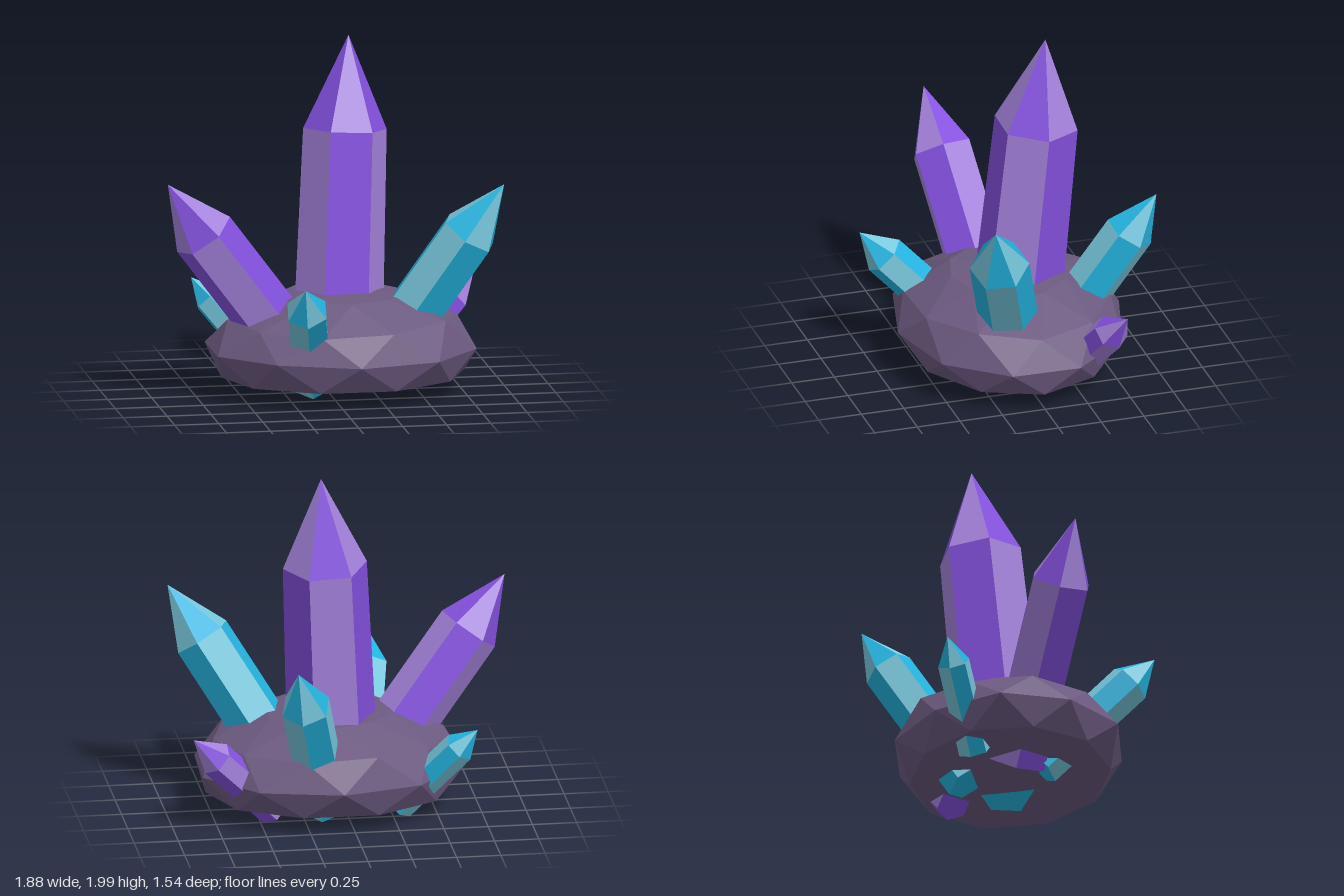
import * as THREE from 'three';

const material = (name, color) => {
  const m = new THREE.MeshStandardMaterial({ color });
  m.name = name;
  return m;
};
const rockStone = material('rockStone', 0x6c5a80);
const deepViolet = material('deepViolet', 0x8450de);
const paleViolet = material('paleViolet', 0xa482dc);
const brightTeal = material('brightTeal', 0x24b4e0);
const paleTeal = material('paleTeal', 0x78c8de);
const violet = [deepViolet, paleViolet];
const teal = [brightTeal, paleTeal];

const flatGeometry = (points) => {
  const g = new THREE.BufferGeometry().setFromPoints(points);
  g.computeVertexNormals();
  return g;
};

// Six-sided crystal with a pointed tip; its facets alternate between two shades
function crystal({ name, base, neck, tip, radius, flare = 1, twist, shades }) {
  const [b, n, t] = [base, neck, tip].map((p) => new THREE.Vector3(...p));
  const axis = n.clone().sub(b).normalize();
  const up = new THREE.Vector3(0, 1, 0).addScaledVector(axis, -axis.y).normalize();
  const side = axis.clone().cross(up);
  const ring = (centre, r) => Array.from({ length: 6 }, (_, i) => {
    const a = THREE.MathUtils.degToRad(twist + 60 * i);
    return centre.clone().addScaledVector(up, r * Math.cos(a)).addScaledVector(side, r * Math.sin(a));
  });
  const low = ring(b, radius * flare);
  const high = ring(n, radius);
  const facets = [[], []];
  for (let i = 0; i < 6; i++) {
    const j = (i + 1) % 6;
    const body = i % 2 ? 0 : 1;
    facets[body].push(low[i], low[j], high[j], low[i], high[j], high[i]);
    facets[1 - body].push(high[i], high[j], t);
    facets[0].push(b, low[j], low[i]);
  }
  const geometry = flatGeometry(facets.flat());
  geometry.addGroup(0, facets[0].length, 0);
  geometry.addGroup(facets[0].length, facets[1].length, 1);
  const mesh = new THREE.Mesh(geometry, shades);
  mesh.name = name;
  return mesh;
}

// Faceted boulder from staggered, slightly uneven rings
function rock() {
  let seed = 7;
  const jitter = (s) => {
    seed = (seed * 16807) % 2147483647;
    return (seed / 2147483647 - 0.5) * 2 * s;
  };
  const sides = 10;
  // height, x radius, z radius, height unevenness
  const levels = [
    [0.11, 0.69, 0.56, 0],
    [0.27, 0.775, 0.645, 0.012],
    [0.44, 0.65, 0.57, 0.02],
    [0.57, 0.36, 0.33, 0.015],
  ];
  const rings = levels.map(([y, rx, rz, uneven], k) => Array.from({ length: sides }, (_, i) => {
    const a = Math.PI / 2 + ((i + k / 2 - 0.5) / sides) * Math.PI * 2;
    const r = 1 + jitter(0.015);
    return new THREE.Vector3(0.08 + rx * r * Math.cos(a), y + jitter(uneven), 0.01 - rz * r * Math.sin(a));
  }));
  const bottom = new THREE.Vector3(0.08, 0.1, 0.01);
  const top = new THREE.Vector3(0.08, 0.605, 0);
  const points = [];
  for (let i = 0; i < sides; i++) {
    const j = (i + 1) % sides;
    points.push(bottom, rings[0][j], rings[0][i]);
    for (let k = 0; k < rings.length - 1; k++) {
      const [lo, hi] = [rings[k], rings[k + 1]];
      points.push(lo[i], lo[j], hi[i], lo[j], hi[j], hi[i]);
    }
    points.push(rings[3][i], rings[3][j], top);
  }
  const mesh = new THREE.Mesh(flatGeometry(points), rockStone);
  mesh.name = 'rockBase';
  return mesh;
}

export function createModel() {
  const model = new THREE.Group();
  model.name = 'crystalCluster';
  model.add(rock());

  const crystals = [
    { name: 'mainCrystal', base: [0.06, 0.2, -0.035], neck: [0.122, 1.475, -0.145], tip: [0.15, 2, -0.19],
      radius: 0.238, flare: 1.08, twist: 60, shades: violet },
    { name: 'rightLargeCrystal', base: [-0.1, 0.12, 0.02], neck: [-0.73, 0.96, 0.14], tip: [-0.94, 1.26, 0.18],
      radius: 0.18, twist: -20, shades: violet },
    { name: 'leftLargeCrystal', base: [0.245, 0.12, 0.02], neck: [0.755, 0.94, 0.27], tip: [0.94, 1.23, 0.35],
      radius: 0.168, twist: 40, shades: teal },
    { name: 'backCrystal', base: [0.13, 0.09, -0.2], neck: [0.3, 0.81, -0.635], tip: [0.36, 1.05, -0.775],
      radius: 0.142, twist: 5, shades: teal },
    { name: 'frontSmallCrystal', base: [-0.115, 0.1, 0.145], neck: [-0.23, 0.605, 0.635], tip: [-0.26, 0.75, 0.77],
      radius: 0.122, twist: 5, shades: teal },
    { name: 'backRightSmallCrystal', base: [-0.28, 0.08, -0.26], neck: [-0.595, 0.465, -0.445], tip: [-0.69, 0.58, -0.5],
      radius: 0.092, twist: 0, shades: teal },
    { name: 'backLeftSmallCrystal', base: [0.42, 0.08, -0.235], neck: [0.77, 0.44, -0.38], tip: [0.905, 0.575, -0.435],
      radius: 0.102, twist: 0, shades: violet },
  ];
  for (const spec of crystals) model.add(crystal(spec));
  return model;
}
